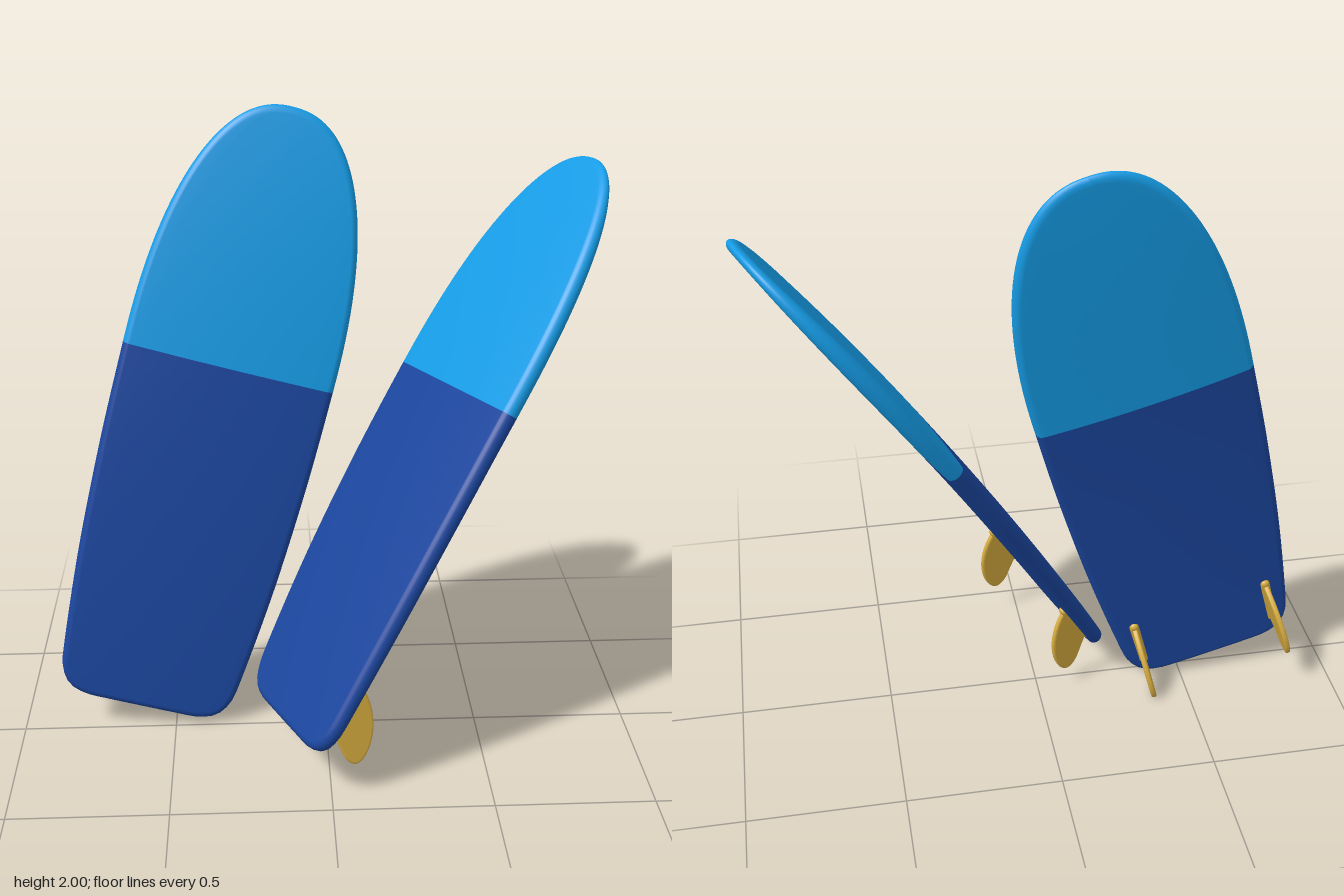
import * as THREE from 'three';

const navy = new THREE.MeshStandardMaterial({ color: 0x1b469e, name: 'navy blue' });
const sky = new THREE.MeshStandardMaterial({ color: 0x159ce6, name: 'sky blue' });
const gold = new THREE.MeshStandardMaterial({ color: 0xd6ac40, name: 'gold' });

const LENGTH = 2.02, SPLIT = 1.19, HALF_WIDTH = 0.342, RAIL = 0.022, BOW = 0.03;

// gentle lengthwise curve of the board
const bow = (t) => 4 * BOW * (t / LENGTH) * (1 - t / LENGTH);

// half thickness: domed across, thinner at the tail and thinnest at the nose
function halfThickness(x, t) {
  const tail = Math.max(0, 1 - t / 0.8), nose = Math.max(0, (t - 1.1) / (LENGTH - 1.1));
  return (0.04 - 0.01 * tail ** 2 - 0.027 * nose ** 3) * (1 - 0.35 * (x / HALF_WIDTH) ** 2);
}

// right half of the outline, from the tail centre to the nose tip
function halfOutline() {
  const v = (x, y) => new THREE.Vector2(x, y);
  const pts = new THREE.SplineCurve([
    v(0, 0), v(0.1, 0), v(0.19, 0.002), v(0.25, 0.024), v(0.284, 0.075), v(0.299, 0.16),
    v(0.326, 0.5), v(0.34, 0.87), v(HALF_WIDTH, SPLIT),
  ]).getSpacedPoints(48);
  const splitIndex = pts.length - 1;
  const n = 36, e = 2 / 2.28;
  for (let i = 1; i <= n; i++) {
    const a = (i / n) * Math.PI / 2;
    const c = i === n ? 0 : Math.cos(a);
    pts.push(v(HALF_WIDTH * c ** e, SPLIT + (LENGTH - SPLIT) * Math.sin(a) ** e));
  }
  return { pts, splitIndex };
}

// board with round rails: one closed ring of points per outline station
function boardGeometry() {
  const { pts, splitIndex } = halfOutline();
  const K = 10, ACROSS = 12, last = pts.length - 1;
  const mirror = (p) => new THREE.Vector2(-p.x, p.y);

  // ring layout: [rail angle, sideways factor] for right rail, deck, left rail, underside
  const layout = [];
  const angle = (k) => (k / K - 0.5) * Math.PI;
  for (let k = 0; k <= K; k++) layout.push([angle(k), 1]);
  for (let k = 1; k < ACROSS; k++) layout.push([Math.PI / 2, 1 - 2 * k / ACROSS]);
  for (let k = K; k >= 0; k--) layout.push([angle(k), -1]);
  for (let k = 1; k < ACROSS; k++) layout.push([-Math.PI / 2, 2 * k / ACROSS - 1]);
  const M = layout.length;

  const position = [], index = [];
  pts.forEach((p, i) => {
    const before = i === 0 ? mirror(pts[1]) : pts[i - 1];
    const after = i === last ? mirror(pts[last - 1]) : pts[i + 1];
    const d = after.clone().sub(before).normalize();
    for (const [phi, side] of layout) {
      const inset = RAIL * (1 - Math.cos(phi));
      const x = side * Math.max(0, p.x - d.y * inset), t = p.y + d.x * inset;
      position.push(x, t, Math.sin(phi) * halfThickness(x, t) + bow(t));
    }
  });
  for (let i = 0; i < last; i++) {
    for (let j = 0; j < M; j++) {
      const a = i * M + j, c = i * M + ((j + 1) % M);
      index.push(a, a + M, c, c, a + M, c + M);
    }
  }
  const g = new THREE.BufferGeometry();
  g.setAttribute('position', new THREE.Float32BufferAttribute(position, 3));
  g.setIndex(index);
  g.computeVertexNormals();
  const cut = splitIndex * M * 6;
  g.addGroup(0, cut, 0);
  g.addGroup(cut, index.length - cut, 1);
  return g;
}

// leaf-shaped fin: x runs along the board, y away from its underside
function finGeometry() {
  const s = new THREE.Shape();
  s.moveTo(0.24, 0);
  s.bezierCurveTo(0.21, 0.07, 0.13, 0.135, 0.05, 0.137);
  s.bezierCurveTo(0.0, 0.137, -0.005, 0.11, 0.015, 0.075);
  s.quadraticCurveTo(0.04, 0.04, 0.07, 0);
  s.closePath();
  const g = new THREE.ExtrudeGeometry(s, {
    depth: 0.006, bevelEnabled: true, bevelThickness: 0.006, bevelSize: 0.008,
    bevelOffset: -0.006, bevelSegments: 3, curveSegments: 16,
  });
  g.translate(0, 0, -0.003);
  return g;
}

// fin pointing out of the underside, with its base strip
function fin(side) {
  const group = new THREE.Group();
  group.name = side > 0 ? 'leftFin' : 'rightFin';
  const blade = new THREE.Mesh(finGeometry(), gold);
  blade.name = 'finBlade';
  blade.quaternion.setFromRotationMatrix(new THREE.Matrix4().makeBasis(
    new THREE.Vector3(0, 1, 0), new THREE.Vector3(0, 0, -1), new THREE.Vector3(-1, 0, 0)));
  const base = new THREE.Mesh(new THREE.CapsuleGeometry(0.016, 0.17, 6, 12), gold);
  base.name = 'finBase';
  base.position.set(0, 0.155, 0);
  base.scale.z = 0.8;
  group.add(blade, base);
  group.position.set(side * 0.232, 0.014, -0.017);
  group.rotation.y = -side * 0.06;
  return group;
}

// board standing at its tail point, with its length and width directions
function board(name, tail, along, across) {
  const group = new THREE.Group();
  group.name = name;
  const body = new THREE.Mesh(boardGeometry(), [navy, sky]);
  body.name = 'boardBody';
  group.add(body, fin(1), fin(-1));
  const u = new THREE.Vector3(...along).normalize();
  const w = new THREE.Vector3(...across);
  w.addScaledVector(u, -w.dot(u)).normalize();
  const deck = new THREE.Vector3().crossVectors(w, u);
  group.quaternion.setFromRotationMatrix(new THREE.Matrix4().makeBasis(w, u, deck));
  group.position.set(...tail);
  return group;
}

export function createModel() {
  const model = new THREE.Group();
  model.name = 'surfboardPair';
  model.add(
    board('uprightBoard', [-0.613, 0.072, -0.024], [0.264, 0.952, -0.153], [0.964, -0.267, 0]),
    board('leaningBoard', [-0.135, 0.15, 0.229], [0.482, 0.836, -0.262], [0.365, 0.076, 0.928]),
  );
  return model;
}
